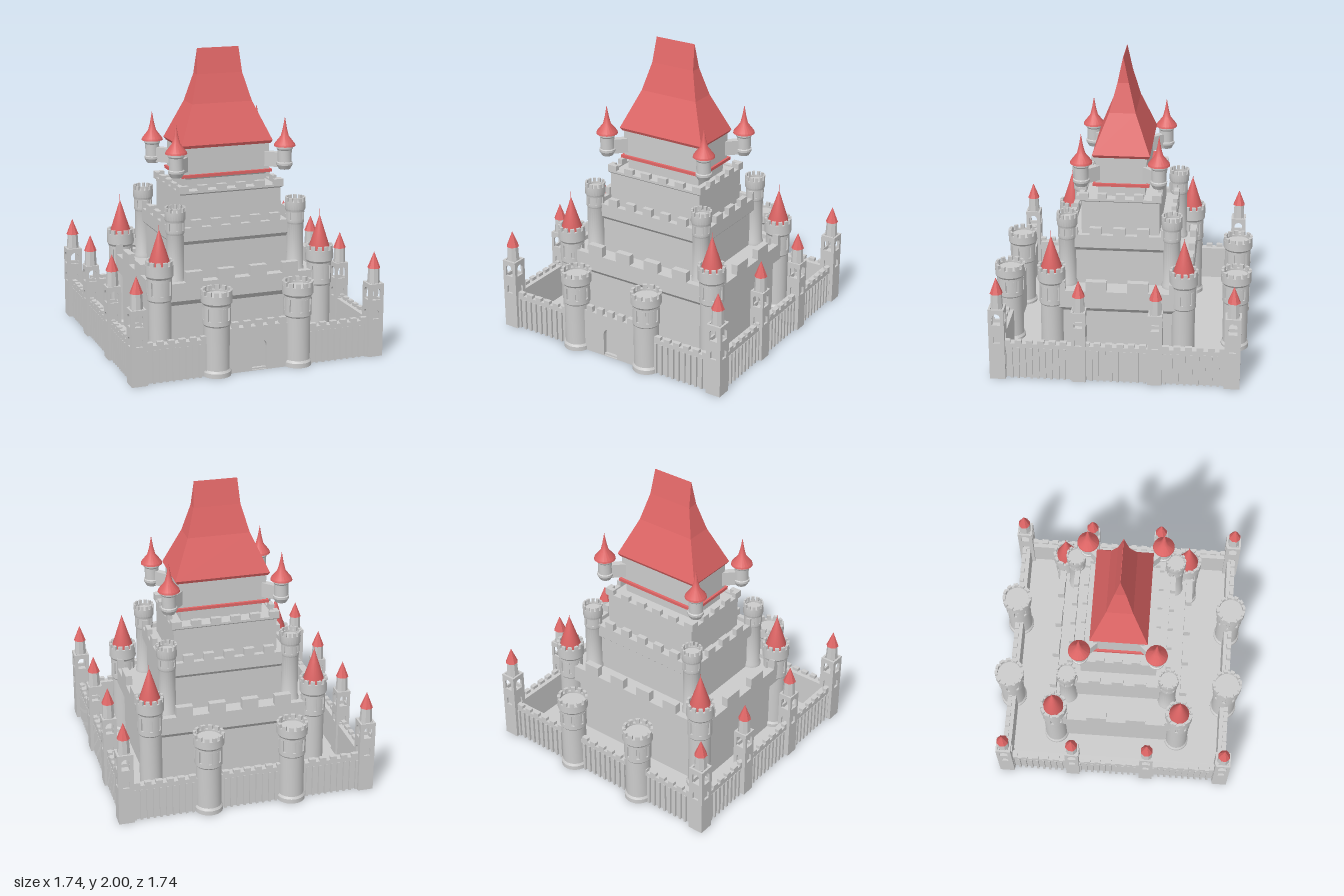
import * as THREE from 'three';
import { mergeGeometries, toCreasedNormals } from 'three/addons/utils/BufferGeometryUtils.js';

const stone = new THREE.MeshStandardMaterial({ color: 0xcccccc });
const tile = new THREE.MeshStandardMaterial({ color: 0xe06666 });

// Merge a list of geometries into one named mesh
function part(name, geos, mat = stone) {
  const list = geos.map((g) => (g.index ? g.toNonIndexed() : g));
  const mesh = new THREE.Mesh(mergeGeometries(list), mat);
  mesh.name = name;
  return mesh;
}

function group(name, ...children) {
  const g = new THREE.Group();
  g.name = name;
  if (children.length) g.add(...children);
  return g;
}

const box = (x0, x1, y0, y1, z0, z1) =>
  new THREE.BoxGeometry(x1 - x0, y1 - y0, z1 - z0).translate((x0 + x1) / 2, (y0 + y1) / 2, (z0 + z1) / 2);

const lathe = (pts, sides = 24) =>
  toCreasedNormals(new THREE.LatheGeometry(pts.map(([r, y]) => new THREE.Vector2(r, y)), sides), 0.5);

// Rectangular cross-sections [y, halfX, halfZ] joined from bottom to top
function loft(sections) {
  const rings = sections.map(([y, a, b]) => [[a, y, b], [a, y, -b], [-a, y, -b], [-a, y, b]]);
  const v = [];
  const quad = (a, b, c, d) => v.push(...a, ...b, ...c, ...a, ...c, ...d);
  for (let i = 0; i < rings.length - 1; i++) {
    for (let j = 0; j < 4; j++) {
      const k = (j + 1) % 4;
      quad(rings[i][j], rings[i][k], rings[i + 1][k], rings[i + 1][j]);
    }
  }
  quad(...rings[rings.length - 1]);
  quad(...[...rings[0]].reverse());
  const g = new THREE.BufferGeometry();
  g.setAttribute('position', new THREE.Float32BufferAttribute(v, 3));
  g.setAttribute('uv', new THREE.Float32BufferAttribute(new Float32Array(v.length / 3 * 2), 2));
  g.computeVertexNormals();
  return g;
}

// Curved block between two radii and two angles
function arcBlock(r0, r1, y0, y1, a0, a1) {
  const s = new THREE.Shape();
  s.absarc(0, 0, r1, a0, a1, false);
  s.absarc(0, 0, r0, a1, a0, true);
  return new THREE.ExtrudeGeometry(s, { depth: y1 - y0, bevelEnabled: false, curveSegments: 3 })
    .rotateX(-Math.PI / 2).translate(0, y0, 0);
}

function arcRing(n, fill, r0, r1, y0, y1) {
  const step = (Math.PI * 2) / n;
  return Array.from({ length: n }, (_, i) => arcBlock(r0, r1, y0, y1, i * step, (i + fill) * step));
}

// Wall panel with round-topped openings [halfWidth, bottom, top]
function archedPanel(hw, height, depth, arches) {
  const s = new THREE.Shape([[-hw, 0], [hw, 0], [hw, height], [-hw, height]].map((p) => new THREE.Vector2(...p)));
  for (const [w, y0, y1] of arches) {
    const h = new THREE.Path();
    h.moveTo(-w, y0);
    h.lineTo(w, y0);
    h.absarc(0, y1 - w, w, 0, Math.PI, false);
    h.lineTo(-w, y0);
    s.holes.push(h);
  }
  return new THREE.ExtrudeGeometry(s, { depth, bevelEnabled: false, curveSegments: 8 });
}

// Low wall around a rectangle, with evenly spaced merlons
function parapet(hx, hz, y0, y1, y2, t, nx, nz) {
  const out = [];
  for (const s of [-1, 1]) {
    const z = s * (hz - t / 2), x = s * (hx - t / 2);
    out.push(box(-hx, hx, y0, y1, z - t / 2, z + t / 2));
    out.push(box(x - t / 2, x + t / 2, y0, y1, -hz + t, hz - t));
    const mx = (2 * hx) / (2 * nx - 1), mz = (2 * hz) / (2 * nz - 1);
    for (let i = 0; i < nx; i++) out.push(box(-hx + 2 * i * mx, -hx + (2 * i + 1) * mx, y1, y2, z - t / 2, z + t / 2));
    for (let i = 0; i < nz; i++) out.push(box(x - t / 2, x + t / 2, y1, y2, -hz + 2 * i * mz, -hz + (2 * i + 1) * mz));
  }
  return out;
}

// Round tower: footed shaft, neck with slit windows, crenellated crown
function roundTower(name, r, base, top, crown, neck, spire) {
  const c = top - crown, n = top - neck, w0 = n + (c - n) * 0.2, w1 = c - (c - n) * 0.22;
  const g = group(name,
    part('towerShaft', [lathe([
      [0, base], [0.92 * r, base], [0.92 * r, base + 0.03], [0.82 * r, base + 0.045], [0.82 * r, n - 0.01], [0.89 * r, n],
      [0.89 * r, w0], [0.78 * r, w0], [0.78 * r, w1], [0.89 * r, w1], [0.89 * r, c - 0.015],
      [r, c], [r, top - 0.028], [0.82 * r, top - 0.028], [0.82 * r, top - 0.04], [0, top - 0.04]])]),
    part('windowPiers', arcRing(8, 0.72, 0.77 * r, 0.89 * r, w0, w1)),
    part('towerMerlons', arcRing(12, 0.6, 0.82 * r, r, top - 0.028, top)));
  if (spire) {
    g.add(part('towerSpire', [lathe([[0, top - 0.04], [0.74 * r, top - 0.04], [0.74 * r, top - 0.01],
      [0.06 * r, top + 0.19], [0.02 * r, top + 0.2], [0, top + 0.25]])], tile));
  }
  return g;
}

// Square watchtower with open arched windows and an octagonal lantern
function watchTower(hw) {
  const walls = [];
  for (let i = 0; i < 4; i++) {
    walls.push(archedPanel(hw, 0.5, 0.014, [[0.022, 0.26, 0.32], [0.028, 0.39, 0.47]])
      .translate(0, 0, hw - 0.014).rotateY((i * Math.PI) / 2));
  }
  const i = hw - 0.02;
  const lantern = new THREE.CylinderGeometry(0.036, 0.042, 0.11, 8).rotateY(Math.PI / 8).translate(0, 0.555, 0);
  const roof = new THREE.ConeGeometry(0.043, 0.11, 8).rotateY(Math.PI / 8).translate(0, 0.655, 0);
  return group('watchTower',
    part('watchTowerWalls', [...walls, box(-i, i, 0, 0.37, -i, i), box(-i, i, 0.48, 0.5, -i, i)]),
    part('watchTowerLantern', [toCreasedNormals(lantern, 0.3)]),
    part('watchTowerRoof', [toCreasedNormals(roof, 0.3)], tile));
}

// Crenellated curtain wall along x, facing +z, lined with thin pilasters
function curtainWall(x0, x1) {
  const len = x1 - x0, out = [box(x0, x1, 0, 0.25, -0.045, 0), box(x0, x1, 0.222, 0.25, 0, 0.012)];
  const n = Math.round(len / 0.043), m = Math.round(len / 0.075);
  for (let i = 0; i < n; i++) {
    const x = x0 + ((i + 0.5) * len) / n;
    out.push(box(x - 0.008, x + 0.008, 0, 0.222, 0, 0.016));
  }
  for (let i = 0; i < m; i++) {
    const x = x0 + ((i + 0.5) * len) / m;
    out.push(box(x - 0.022, x + 0.022, 0.25, 0.272, -0.018, 0.012));
  }
  return part('curtainWall', out);
}

function place(obj, x, z, turn = 0) {
  obj.position.set(x, 0, z);
  obj.rotation.y = turn;
  return obj;
}

export function createModel() {
  const castle = group('castle', part('ground', [box(-0.82, 0.82, 0, 0.015, -0.78, 0.78)]));

  // Outer walls, gate and towers
  castle.add(
    place(curtainWall(-0.78, -0.34), 0, 0.78), place(curtainWall(0.34, 0.78), 0, 0.78),
    place(curtainWall(-0.78, 0.78), 0, -0.78, Math.PI),
    place(curtainWall(-0.74, 0.74), 0.83, 0, Math.PI / 2),
    place(curtainWall(-0.74, 0.74), -0.83, 0, -Math.PI / 2));
  for (const x of [-0.285, 0.275]) castle.add(place(roundTower('gateTower', 0.102, 0, 0.57, 0.08, 0.225), x, 0.765));
  for (const x of [-0.305, 0.26]) castle.add(place(roundTower('rearTower', 0.102, 0, 0.57, 0.08, 0.225), x, -0.77));
  const gate = [archedPanel(0.22, 0.3, 0.055, [[0.052, 0.004, 0.21]]).translate(0, 0, 0.735),
    box(-0.06, 0.06, 0, 0.22, 0.735, 0.76)];
  for (let i = -2; i <= 2; i++) gate.push(box(i * 0.082 - 0.023, i * 0.082 + 0.023, 0.3, 0.34, 0.76, 0.79));
  castle.add(part('gateWall', gate));
  for (const s of [-1, 1]) {
    for (const z of [-0.765, 0.765]) castle.add(place(watchTower(0.052), s * 0.818, z));
    for (const z of [s > 0 ? -0.265 : -0.29, 0.232]) castle.add(place(watchTower(0.047), s * 0.818, z));
  }

  // Stepped keep with overhanging battlements
  const keep = group('keep',
    part('lowerTier', [loft([[0.01, 0.575, 0.435], [0.38, 0.575, 0.435], [0.42, 0.62, 0.478], [0.51, 0.62, 0.478]]),
      ...parapet(0.62, 0.478, 0.51, 0.54, 0.61, 0.045, 6, 4)]),
    part('middleTier', [loft([[0.51, 0.42, 0.32], [0.75, 0.42, 0.32], [0.78, 0.45, 0.352], [0.84, 0.45, 0.352]]),
      ...parapet(0.45, 0.352, 0.84, 0.87, 0.92, 0.034, 7, 5)]),
    part('upperTier', [loft([[0.84, 0.355, 0.258], [1.07, 0.355, 0.258], [1.08, 0.37, 0.27], [1.085, 0.37, 0.27]]),
      ...parapet(0.37, 0.27, 1.085, 1.095, 1.13, 0.032, 6, 5)]),
    part('topHall', [loft([[1.08, 0.28, 0.155], [1.15, 0.28, 0.155], [1.17, 0.305, 0.168], [1.38, 0.305, 0.168]])]),
    part('redBand', [box(-0.32, 0.32, 1.165, 1.185, -0.186, 0.186)], tile),
    part('mainRoof', [loft([[1.362, 0.31, 0.18], [1.382, 0.323, 0.19], [1.64, 0.212, 0.087],
      [1.83, 0.16, 0.037], [2, 0.147, 0.001]])], tile));
  keep.position.set(0.005, 0, 0.003);

  // Towers and hanging turrets at the four corners of the keep
  for (const sx of [-1, 1]) {
    for (const sz of [-1, 1]) {
      keep.add(place(roundTower('cornerTower', 0.093, 0.01, 0.7, 0.1, 0.26, true), sx * 0.565, sz * 0.435));
      keep.add(place(roundTower('upperTower', 0.069, 0.5, 1.02, 0.08, 0.17), sx * 0.425, sz * 0.345));
      const bridge = box(-0.022, 0.022, 1.205, 1.305, -0.15, 0).rotateY(Math.atan2(sx * 0.1, sz * 0.105));
      keep.add(place(group('turret',
        part('turretBody', [lathe([[0, 1.19], [0.038, 1.195], [0.055, 1.225], [0.055, 1.24], [0.048, 1.245],
          [0.048, 1.325], [0.055, 1.335], [0.055, 1.35], [0, 1.35]], 16)]),
        part('turretBridge', [bridge]),
        part('turretRoof', [lathe([[0, 1.345], [0.073, 1.352], [0.07, 1.365], [0.027, 1.42],
          [0.014, 1.47], [0, 1.55]], 20)], tile)), sx * 0.383, sz * 0.253));
    }
  }
  castle.add(keep);
  return castle;
}
